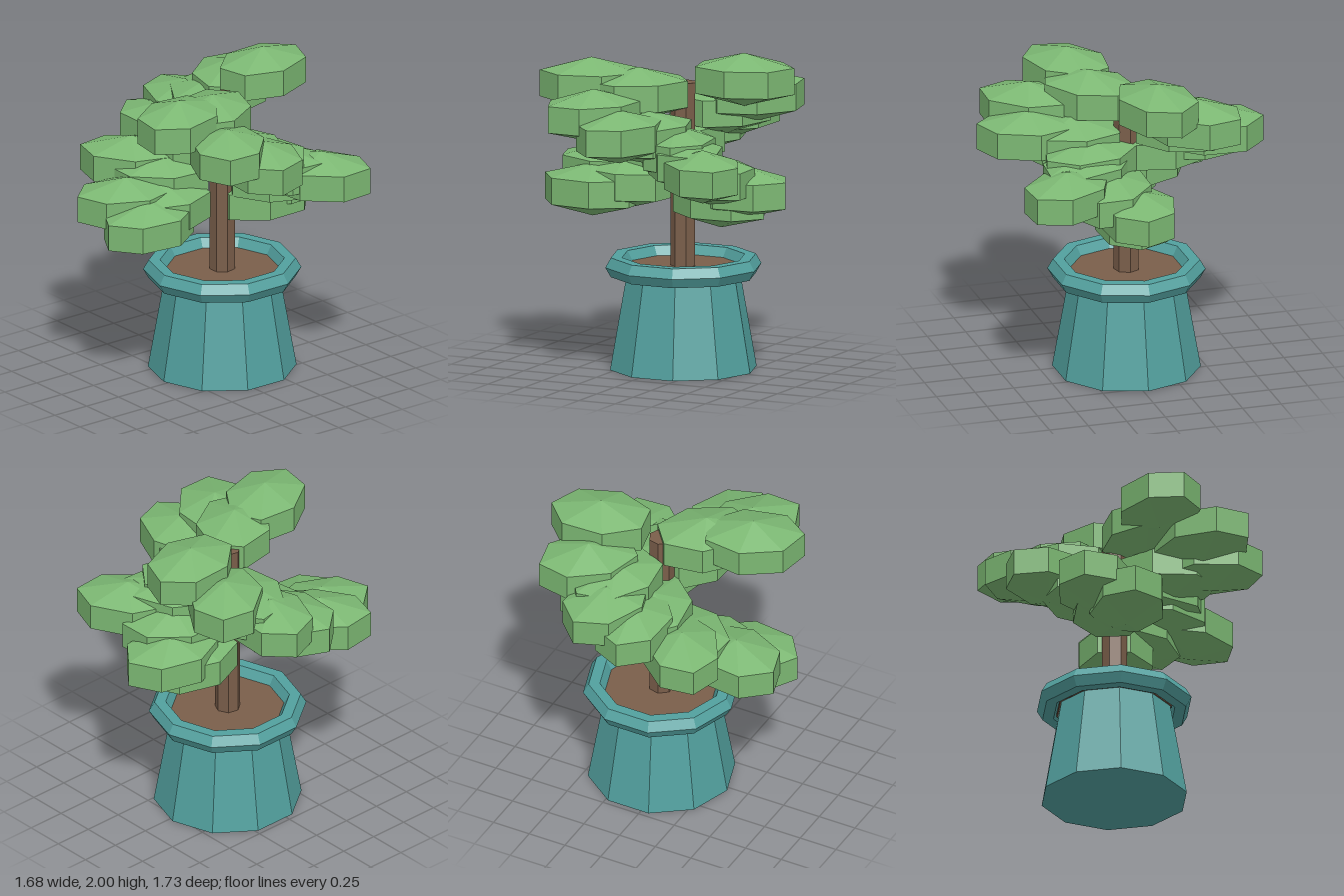
import * as THREE from 'three';

const AXIS_X = 0.09, AXIS_Z = -0.03;

function material(name, color) {
  const m = new THREE.MeshStandardMaterial({ color, flatShading: true });
  m.name = name;
  return m;
}

export function createModel() {
  const leafGreen = material('leaf green', 0x7cb873);
  const potTeal = material('pot teal', 0x52a09e);
  const barkBrown = material('bark brown', 0x7a5e4a);

  const model = new THREE.Group();
  model.name = 'pottedTree';

  const add = (name, geometry, mat, y) => {
    const mesh = new THREE.Mesh(geometry, mat);
    mesh.name = name;
    mesh.position.set(AXIS_X, y, AXIS_Z);
    model.add(mesh);
    return mesh;
  };

  // Upright prism with a corner pointing to +x
  const prism = (top, bottom, height, sides) =>
    new THREE.CylinderGeometry(top, bottom, height, sides).rotateY(Math.PI / 2);

  // Ten-sided pot, wider at the base, with a six-sided ring for a rim
  add('pot', prism(0.355, 0.46, 0.6, 10), potTeal, 0.3);
  add('potRim', new THREE.TorusGeometry(0.42, 0.07, 6, 10).rotateX(Math.PI / 2), potTeal, 0.645);
  add('soil', prism(0.365, 0.365, 0.05, 10), barkBrown, 0.622);

  // Seven-sided trunk
  add('trunk', prism(0.08, 0.08, 1.2, 7), barkBrown, 1.2);

  // Leaf clumps: two strands winding down around the trunk, each [x, y, z]
  const strands = {
    backFoliage: [
      [0.47, 1.833, -0.11], [0.42, 1.69, -0.37], [0.23, 1.60, -0.36],
      [0.20, 1.55, -0.55], [0.02, 1.457, -0.525], [0.0, 1.41, -0.30],
      [-0.285, 1.316, -0.465], [-0.22, 1.25, -0.25], [-0.53, 1.175, -0.21],
      [-0.33, 1.128, -0.10], [-0.52, 1.081, 0.0],
    ],
    frontFoliage: [
      [-0.43, 1.786, 0.20], [-0.13, 1.739, 0.15], [-0.275, 1.645, 0.49],
      [-0.06, 1.54, 0.56], [0.02, 1.50, 0.30], [0.18, 1.41, 0.24],
      [0.26, 1.36, 0.28], [0.47, 1.316, 0.47], [0.38, 1.24, 0.15],
      [0.52, 1.155, 0.02], [0.37, 1.081, 0.01],
    ],
  };

  // Flattened clump, longest outwards from the trunk, corner at the tip (-x)
  const clump = new THREE.SphereGeometry(1, 7, 3).scale(0.37, 0.167, 0.272);
  for (const [name, points] of Object.entries(strands)) {
    const strand = new THREE.Group();
    strand.name = name;
    for (const [x, y, z] of points) {
      const mesh = new THREE.Mesh(clump, leafGreen);
      mesh.name = 'leafClump';
      mesh.position.set(x, y, z);
      mesh.rotation.y = Math.PI - Math.atan2(z - AXIS_Z, x - AXIS_X);
      strand.add(mesh);
    }
    model.add(strand);
  }
  return model;
}
